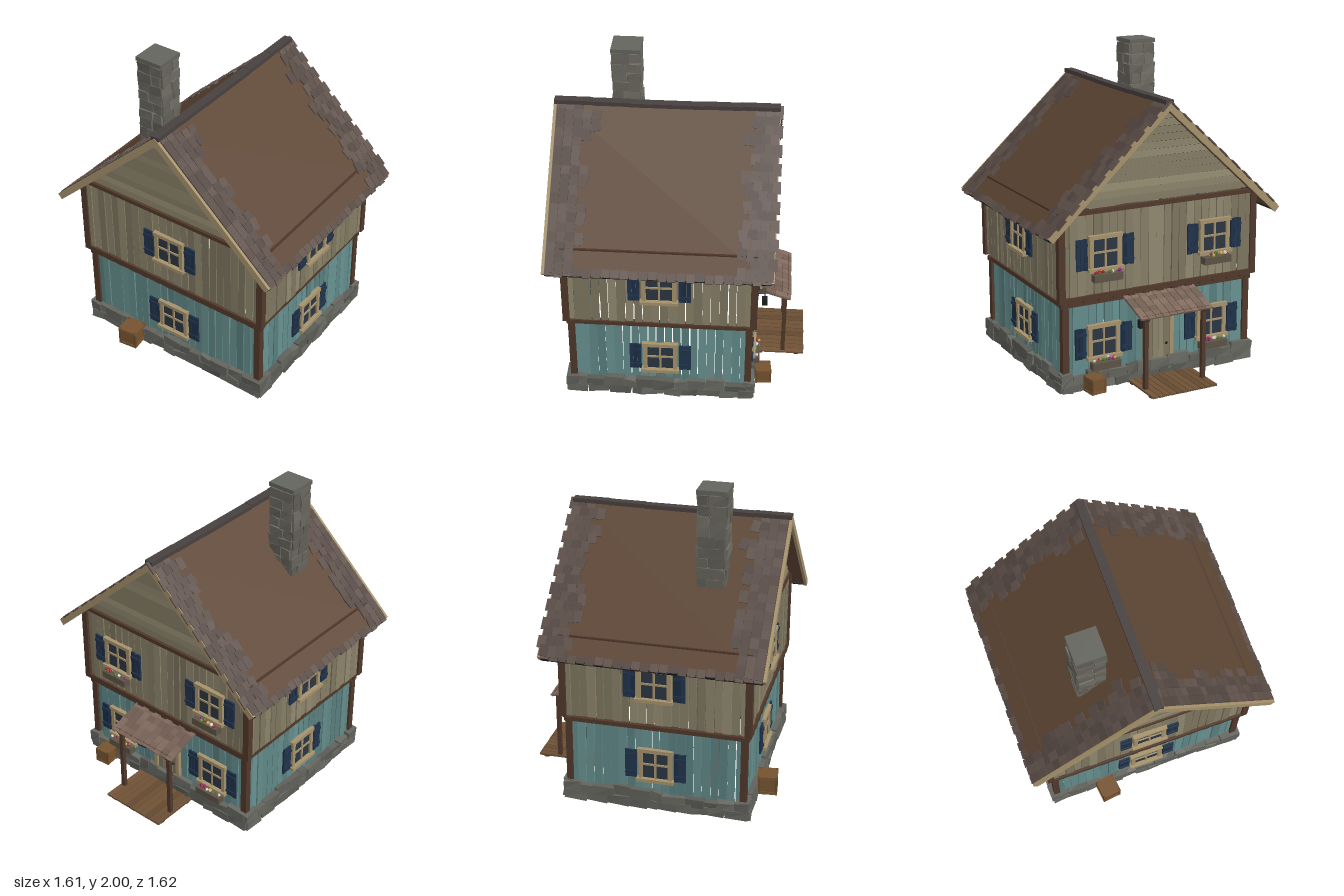
import * as THREE from 'three';

let seed = 7;
const rnd = (a = 0, b = 1) => {
  seed = (seed * 16807) % 2147483647;
  return a + (b - a) * (seed / 2147483647);
};

const C = {
  beige: 0x8a8269, teal: 0x638c8b, beam: 0x50382a, stone: 0x64645e, chimney: 0x69675e,
  roof: 0x5c4432, shingle: 0x5c4e48, ridge: 0x47403f, trim: 0xa5926c, shutter: 0x1f3149,
  glass: 0x2b3642, crate: 0x74522f, deck: 0x6e5136, porch: 0x7c665a, iron: 0x1e1e20,
};
const mats = {};
const mat = (color, shade = 1) => (mats[color + '_' + shade] ??= new THREE.MeshStandardMaterial({
  color: new THREE.Color(color).multiplyScalar(shade), flatShading: true }));
const varied = (color) => mat(color, [0.8, 0.92, 1, 1.1][Math.floor(rnd(0, 3.99))]);

function add(parent, name, geo, material, x, y, z) {
  const m = new THREE.Mesh(geo, material);
  m.name = name;
  m.position.set(x, y, z);
  parent.add(m);
  return m;
}
const box = (p, name, color, w, h, d, x, y, z) =>
  add(p, name, new THREE.BoxGeometry(w, h, d), color.isMaterial ? color : mat(color), x, y, z);

function group(parent, name, x = 0, y = 0, z = 0, ry = 0) {
  const g = new THREE.Group();
  g.name = name;
  g.position.set(x, y, z);
  g.rotation.y = ry;
  parent.add(g);
  return g;
}

// Rough stone: a box whose eight corners are nudged
function rock(p, name, color, w, h, d, x, y, z, j = 0.008) {
  const geo = new THREE.BoxGeometry(w, h, d), pos = geo.attributes.position;
  const off = Array.from({ length: 8 }, () => [rnd(-j, j), rnd(-j, j), rnd(-j, j)]);
  for (let i = 0; i < pos.count; i++) {
    const a = pos.getX(i), b = pos.getY(i), c = pos.getZ(i);
    const o = off[(a > 0 ? 1 : 0) + (b > 0 ? 2 : 0) + (c > 0 ? 4 : 0)];
    pos.setXYZ(i, a + o[0], b + o[1], c + o[2]);
  }
  return add(p, name, geo, varied(color), x, y, z);
}

// Vertical boards of uneven width, centred on a wall face
function planks(p, color, half, y0, y1) {
  const n = Math.round(half * 2 / 0.053), step = half * 2 / n;
  for (let i = 0; i < n; i++) {
    const m = box(p, 'wallPlank', varied(color), step * rnd(0.82, 1.02), y1 - y0 - rnd(0, 0.012), 0.014,
      -half + step * (i + 0.5), (y0 + y1) / 2, rnd(-0.004, 0.004));
    m.rotation.z = rnd(-0.009, 0.009);
  }
}

// Window with frame, cross bars, sill and two shutters
function windowUnit(p, x, y, planter) {
  const g = group(p, 'window', x, y, 0);
  box(g, 'glass', C.glass, 0.17, 0.18, 0.034, 0, 0, 0);
  for (const s of [-1, 1]) {
    box(g, 'frameSide', C.trim, 0.026, 0.2, 0.03, s * 0.093, 0, 0.014);
    for (const k of [-1, 0, 1])
      box(g, 'shutterBoard', varied(C.shutter), 0.023, 0.185 + rnd(0, 0.01), 0.012, s * (0.155 + k * 0.025), 0, 0.016);
    for (const k of [-1, 1]) box(g, 'shutterBatten', C.shutter, 0.07, 0.018, 0.01, s * 0.155, k * 0.06, 0.025);
  }
  box(g, 'frameHead', C.trim, 0.225, 0.024, 0.034, 0, 0.1, 0.016);
  box(g, 'sill', C.trim, 0.235, 0.022, 0.045, 0, -0.1, 0.022);
  box(g, 'barUpright', C.trim, 0.012, 0.18, 0.012, 0, 0, 0.019);
  box(g, 'barAcross', C.trim, 0.165, 0.012, 0.012, 0, 0.005, 0.019);
  if (!planter) return;
  box(g, 'flowerBox', 0x5d5346, 0.19, 0.045, 0.05, 0, -0.145, 0.045);
  for (let i = 0; i < 14; i++)
    add(g, 'flower', new THREE.IcosahedronGeometry(rnd(0.01, 0.015), 0),
      mat([0x8a2f86, 0xd8d4cc, 0xa8242c, 0x4f7a34, 0xc9a93a][i % 5]),
      rnd(-0.085, 0.085), -0.115 + rnd(0, 0.015), 0.045 + rnd(-0.02, 0.02));
}

function crate(p, x, z, s, ry) {
  const g = group(p, 'crate', x, 0.015 + s / 2, z, ry);
  box(g, 'crateBody', C.crate, s * 0.94, s * 0.96, s * 0.94, 0, 0, 0);
  for (const a of [-1, 1]) for (const b of [-1, 1]) {
    box(g, 'cratePost', mat(C.crate, 0.8), s * 0.12, s, s * 0.12, a * s * 0.44, 0, b * s * 0.44);
    box(g, 'crateRail', mat(C.crate, 1.1), s, s * 0.14, s * 0.05, 0, a * s * 0.42, b * s * 0.48);
    box(g, 'crateRail', mat(C.crate, 1.1), s * 0.05, s * 0.14, s, b * s * 0.48, a * s * 0.42, 0);
  }
}

function porch(p) {
  const g = group(p, 'porch');
  for (let i = 0; i < 11; i++)
    box(g, 'deckBoard', varied(C.deck), 0.037, 0.012, 0.34 - rnd(0, 0.008), -0.205 + i * 0.041, 0.018, 0.74);
  for (const z of [0.62, 0.86]) box(g, 'deckJoist', C.beam, 0.44, 0.012, 0.03, 0, 0.008, z);
  for (const s of [-1, 1]) {
    box(g, 'porchPost', C.beam, 0.026, 0.46, 0.026, s * 0.2, 0.25, 0.77);
    const r = box(g, 'porchRafter', C.beam, 0.02, 0.018, 0.25, s * 0.2, 0.505, 0.68);
    r.rotation.x = 0.31;
  }
  box(g, 'porchHeader', C.beam, 0.46, 0.024, 0.026, 0, 0.482, 0.775);
  const roof = group(g, 'porchRoof', 0, 0.562, 0.555);
  roof.rotation.x = 0.31;
  box(roof, 'porchRoofPanel', C.porch, 0.49, 0.008, 0.255, 0, -0.008, 0.13);
  for (let r = 0; r < 5; r++) for (let i = 0; i < 10; i++) {
    const m = box(roof, 'porchShingle', varied(C.porch), 0.046, 0.008, 0.062, -0.225 + i * 0.05, 0.002, 0.03 + r * 0.05 + rnd(0, 0.006));
    m.rotation.x = 0.08;
  }
  // Door
  for (let i = 0; i < 4; i++) box(g, 'doorBoard', varied(C.beige), 0.037, 0.37, 0.02, -0.0585 + i * 0.039, 0.22, 0.557);
  for (const s of [-1, 1]) box(g, 'doorFrame', C.trim, 0.026, 0.4, 0.035, s * 0.092, 0.225, 0.56);
  box(g, 'doorHead', C.trim, 0.23, 0.028, 0.04, 0, 0.425, 0.56);
  add(g, 'doorKnob', new THREE.IcosahedronGeometry(0.01, 0), mat(C.iron), 0.055, 0.21, 0.573);
  // Lantern on a bracket
  box(g, 'lanternBracket', C.iron, 0.01, 0.008, 0.1, -0.16, 0.455, 0.6);
  box(g, 'lanternChain', C.iron, 0.004, 0.04, 0.004, -0.16, 0.435, 0.64);
  box(g, 'lantern', C.iron, 0.036, 0.05, 0.036, -0.16, 0.392, 0.64);
}

function chimney(p) {
  const g = group(p, 'chimney', -0.29, 0, 0.27);
  box(g, 'chimneyCore', mat(C.chimney, 0.7), 0.14, 1.93, 0.14, 0, 1.0, 0);
  const rows = 30, h = 1.94 / rows;
  for (let r = 0; r < rows; r++) for (let f = 0; f < 4; f++) {
    const side = group(g, 'chimneySide', 0, 0.03 + h * (r + 0.5), 0, f * Math.PI / 2);
    const cut = rnd(-0.03, 0.03);
    rock(side, 'chimneyStone', C.chimney, cut + 0.08, h * 0.96, 0.034, (cut - 0.084) / 2, 0, 0.07 + rnd(0, 0.008), 0.005);
    rock(side, 'chimneyStone', C.chimney, 0.08 - cut, h * 0.96, 0.034, (cut + 0.084) / 2, 0, 0.07 + rnd(0, 0.008), 0.005);
  }
  box(g, 'chimneyCap', C.stone, 0.185, 0.026, 0.185, 0, 1.987, 0);
}

function roof(p) {
  const angle = Math.atan2(0.73, 0.79), len = 1.075;
  for (const ry of [0, Math.PI]) {
    const slope = group(group(p, 'roofHalf', 0, 1.75, 0, ry), 'roofSlope');
    slope.rotation.z = -angle;
    box(slope, 'roofPanel', C.roof, len, 0.024, 1.34, len / 2, -0.012, 0);
    for (const e of [-1, 1]) {
      box(slope, 'bargeBoard', C.trim, len, 0.042, 0.018, len / 2, -0.017, e * 0.68);
      // Shingles gathered at the gable ends, ragged towards the middle
      for (let r = 0; r < 18; r++) {
        const out = ((ry ? -e : e) > 0 ? 0.668 : 0.705) - (r % 2) * (e * (ry ? -1 : 1) < 0 ? 0.022 : 0);
        const n = 3 + Math.floor(rnd(0, 2.2));
        for (let i = 0; i < n; i++) {
          const m = box(slope, 'shingle', varied(C.shingle), 0.075, 0.009, 0.052,
            0.035 + r * 0.0585 + rnd(-0.006, 0.006), 0.004, e * (out - 0.026 - i * 0.055));
          m.rotation.z = -0.05;
          if (i > 1) m.rotation.y = rnd(-0.25, 0.25);
        }
      }
    }
    // Eaves course and fascia
    for (let i = 0; i < 24; i++)
      box(slope, 'eavesShingle', varied(C.shingle), 0.05, 0.012, 0.05, len - 0.02 + rnd(0, 0.012), -0.004, -0.644 + i * 0.056);
    box(slope, 'fascia', C.iron, 0.014, 0.026, 1.34, len, -0.018, 0);
  }
  for (let i = 0; i < 6; i++)
    box(p, 'ridgeCap', C.ridge, 0.056, 0.026, 0.232, 0, 1.75 - 0.003 * (2.5 - Math.abs(i - 2.5)), -0.57 + i * 0.228);
}

export function createModel() {
  seed = 7;
  const model = new THREE.Group();
  model.name = 'cottage';
  const house = group(model, 'house', 0, 0, 0.1);
  const faces = ['front', 'right', 'back', 'left'];

  faces.forEach((name, i) => {
    const side = i % 2 === 1, ry = i * Math.PI / 2;
    const g = group(house, name + 'Side', 0, 0, 0, ry);
    const [loHalf, loOut] = side ? [0.55, 0.635] : [0.635, 0.55];
    const [upHalf, upOut] = side ? [0.575, 0.665] : [0.665, 0.575];
    const lower = group(g, 'lowerWall', 0, 0, loOut), upper = group(g, 'upperWall', 0, 0, upOut);
    planks(lower, C.teal, loHalf, 0.06, 0.555);
    planks(upper, C.beige, upHalf, 0.59, 1.115);

    // Horizontal beams and corner posts
    box(lower, 'floorBeam', C.beam, loHalf * 2 + 0.06, 0.027, 0.035, 0, 0.557, 0.004);
    box(upper, 'topBeam', C.beam, upHalf * 2 + 0.04, 0.026, 0.03, 0, 1.12, 0);
    box(lower, 'cornerPost', C.beam, 0.042, 0.5, 0.042, loHalf, 0.31, 0);
    box(upper, 'cornerPost', C.beam, 0.042, 0.53, 0.042, upHalf, 0.85, 0);
    if (!side) {
      box(upper, 'sillBeam', C.beam, upHalf * 2 + 0.04, 0.03, 0.035, 0, 0.596, 0.004);
      for (let k = 0; k < 13; k++) box(upper, 'joistEnd', C.beam, 0.045, 0.018, 0.07, -0.6 + k * 0.1, 0.577, -0.015);
      // Gable clapboards shortening towards the ridge
      for (let y = 1.145; y < 1.7; y += 0.0445) {
        const b = box(upper, 'gableBoard', varied(C.beige), 2 * (1.735 - y - 0.02) / 0.924, 0.041, 0.012, 0, y + 0.02, 0);
        b.rotation.x = -0.12;
      }
    }

    // Windows: a pair per storey with flower boxes at the back, one elsewhere
    for (const x of i === 2 ? [-0.38, 0.38] : [0]) {
      windowUnit(lower, x, 0.3, i === 2);
      windowUnit(upper, x, 0.865, i === 2);
    }

    // Stone footing in two uneven courses
    for (let c = 0; c < 2; c++) {
      let x = -loHalf - 0.035;
      while (x < loHalf + 0.01) {
        const w = Math.min(rnd(0.07, 0.15), loHalf + 0.04 - x), h = c ? rnd(0.05, 0.08) : 0.06;
        rock(g, 'footingStone', C.stone, w, h, 0.075, x + w / 2, c ? 0.06 + h / 2 - 0.006 : 0.036, loOut + rnd(0, 0.01), 0.008);
        x += w;
      }
    }
    if (i === 0) crate(g, -0.295, 0.64, 0.125, 0.12);
    if (i === 2) {
      crate(g, -0.48, 0.645, 0.1, 0.1);
      porch(g);
    }
  });

  chimney(house);
  roof(house);
  return model;
}
